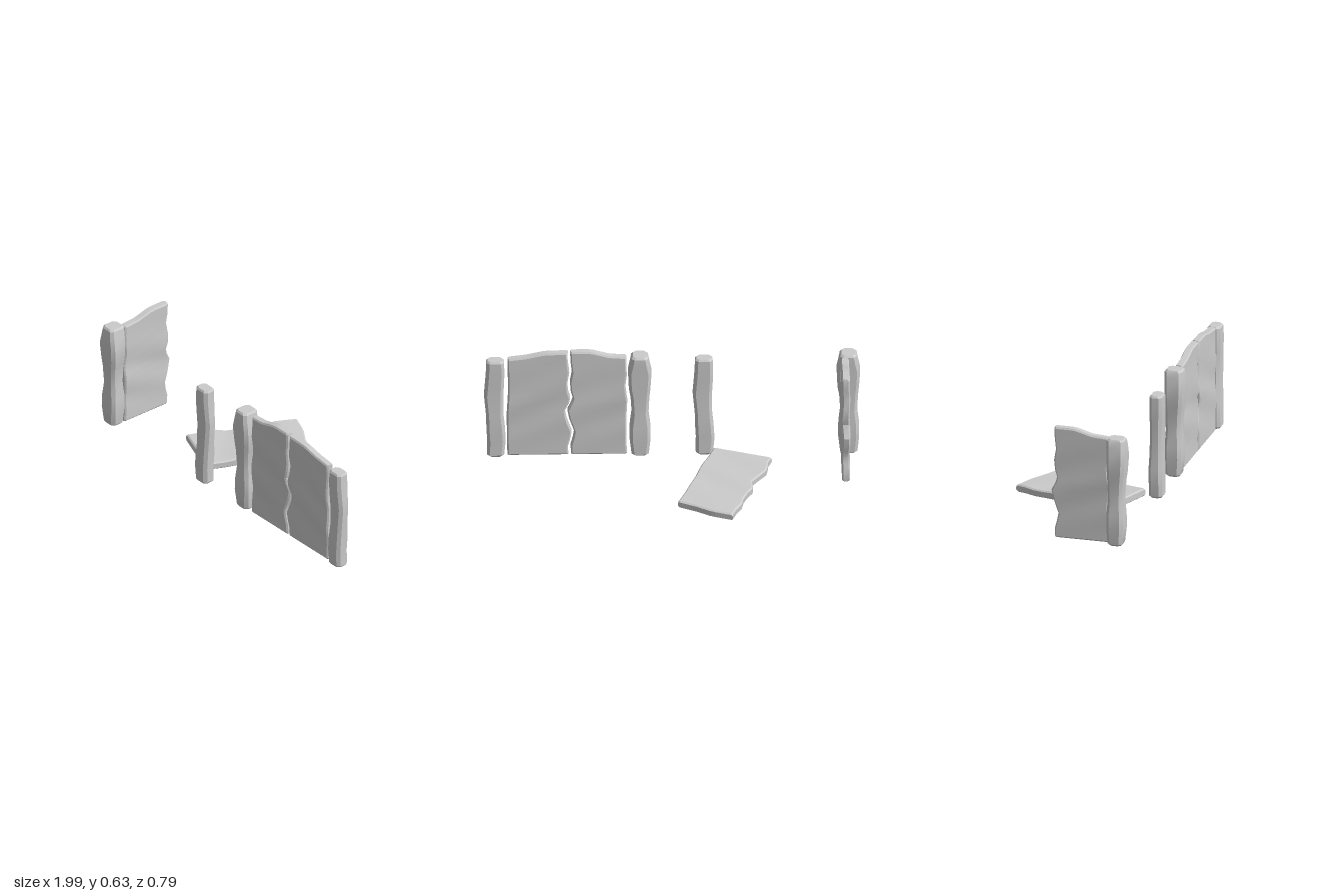
import * as THREE from 'three';
import { toCreasedNormals } from 'three/addons/utils/BufferGeometryUtils.js';

const material = new THREE.MeshStandardMaterial({ color: 0xcccccc });

// Skin a stack of rings; each ring runs along the front, then back along the rear.
function loft(rings) {
  const n = rings[0].length, index = [];
  const quad = (a, b, c, d) => index.push(a, b, c, a, c, d);
  for (let r = 0; r < rings.length - 1; r++) {
    for (let i = 0; i < n; i++) {
      const j = (i + 1) % n, lo = r * n, hi = lo + n;
      quad(lo + i, lo + j, hi + j, hi + i);
    }
  }
  // end caps as strips between the front and rear halves
  const top = (rings.length - 1) * n;
  for (let i = 0; i < n / 2 - 1; i++) {
    quad(top + i, top + i + 1, top + n - 2 - i, top + n - 1 - i);
    quad(n - 1 - i, n - 2 - i, i + 1, i);
  }
  const geometry = new THREE.BufferGeometry();
  geometry.setAttribute('position', new THREE.Float32BufferAttribute(rings.flat(2), 3));
  geometry.setIndex(index);
  return toCreasedNormals(geometry, 0.5);
}

// Linear lookup in a table of [position, value] pairs.
function lookup(table, p) {
  for (let i = 1; i < table.length; i++) {
    const [a, va] = table[i - 1], [b, vb] = table[i];
    if (p <= b) return va + (vb - va) * Math.max(0, (p - a) / (b - a));
  }
  return table[table.length - 1][1];
}

// Post from rows of [y, left, right, back, front], with chamfered corners.
function postGeometry(rows) {
  const c = 0.016;
  return loft(rows.map(([y, l, r, b, f]) => [
    [l, y, f - c], [l + c, y, f], [r - c, y, f], [r, y, f - c],
    [r, y, b + c], [r - c, y, b], [l + c, y, b], [l, y, b + c],
  ]));
}

// Rough-hewn leaf with wavy sides, a shaped top and gently rippled faces.
function leafGeometry(left, right, topTable, ripple) {
  const c = 0.008, cols = 10, rings = [];
  const levels = [0, 0.012, 0.08, 0.155, 0.22, 0.29, 0.35, 0.43, 0.5, 0.545, 0.61,
    0.7, 0.8, 0.9, 0.985, 1];
  for (const t of levels) {
    const end = t === 0 || t === 1;
    const l = lookup(left, t * 0.62), r = lookup(right, t * 0.62);
    const front = [], back = [];
    for (let i = 0; i <= cols + 2; i++) {
      const side = i === 0 || i === cols + 2;
      const x = i === 0 ? l : i === cols + 2 ? r
        : l + c + (r - l - 2 * c) * (i - 1) / cols;
      const y = t * lookup(topTable, x);
      const wave = Math.sin(Math.PI * t) * 0.005 * Math.sin(17 * t + 12 * x + ripple);
      const half = 0.021 - (side ? 0.007 : 0) - (end ? 0.006 : 0);
      front.push([x, y, half + wave]);
      back.unshift([x, y, -half + wave * 0.6]);
    }
    rings.push([...front, ...back]);
  }
  return loft(rings);
}

export function createModel() {
  const model = new THREE.Group();
  const add = (name, geometry, x, y, z) => {
    const mesh = new THREE.Mesh(geometry, material);
    mesh.name = name;
    mesh.position.set(x, y, z);
    model.add(mesh);
    return mesh;
  };

  // Thick post and slim post, each used twice
  const thickPost = postGeometry([
    [0.008, -0.037, 0.037, -0.036, 0.03],
    [0.018, -0.046, 0.046, -0.044, 0.036],
    [0.11, -0.055, 0.056, -0.048, 0.044],
    [0.18, -0.054, 0.054, -0.047, 0.042],
    [0.26, -0.044, 0.045, -0.043, 0.037],
    [0.36, -0.049, 0.051, -0.043, 0.042],
    [0.41, -0.054, 0.06, -0.045, 0.047],
    [0.5, -0.06, 0.064, -0.046, 0.053],
    [0.56, -0.048, 0.052, -0.05, 0.05],
    [0.595, -0.042, 0.046, -0.05, 0.046],
    [0.605, -0.035, 0.038, -0.042, 0.038],
  ]);
  const slimPost = postGeometry([
    [0.008, -0.04, 0.034, -0.03, 0.03],
    [0.018, -0.048, 0.043, -0.036, 0.036],
    [0.1, -0.056, 0.042, -0.036, 0.037],
    [0.17, -0.052, 0.046, -0.038, 0.036],
    [0.25, -0.044, 0.048, -0.035, 0.032],
    [0.37, -0.043, 0.059, -0.032, 0.032],
    [0.44, -0.047, 0.053, -0.033, 0.034],
    [0.51, -0.049, 0.048, -0.035, 0.037],
    [0.572, -0.047, 0.046, -0.035, 0.035],
    [0.582, -0.04, 0.04, -0.028, 0.028],
  ]);

  // The two leaves share one wavy meeting edge
  const edge = [[0, 0.295], [0.04, 0.3], [0.13, 0.276], [0.2, 0.3], [0.26, 0.318],
    [0.33, 0.283], [0.37, 0.296], [0.43, 0.302], [0.49, 0.29], [0.6, 0.303], [0.62, 0.298]];
  const rightLeaf = leafGeometry(
    [[0, 0], [0.2, 0.004], [0.35, -0.003], [0.42, 0.01], [0.5, 0], [0.62, 0.003]], edge,
    [[0, 0.586], [0.09, 0.592], [0.19, 0.62], [0.3, 0.62]], 0.5);
  const leftLeaf = leafGeometry(
    edge.map(([y, u]) => [y, u - 0.618]), [[0, 0], [0.25, 0.004], [0.4, -0.004], [0.62, 0]],
    [[-0.32, 0.616], [-0.2, 0.614], [-0.1, 0.592], [0, 0.58]], 2.6);

  // Closed gate
  add('closedGateRightPost', thickPost, 0.17, 0, 0.337);
  add('closedGateLeftPost', slimPost, 0.937, 0, 0.337);
  add('closedGateRightLeaf', rightLeaf, 0.24, 0.01, 0.338);
  add('closedGateLeftLeaf', leftLeaf, 0.872, 0.01, 0.338);

  // Broken gate: one leaf swung open to the back, the other lying on the ground
  add('brokenGateRightPost', thickPost, -0.933, 0, 0.337);
  add('brokenGateLeftPost', slimPost, -0.167, 0, 0.337);
  add('openLeaf', rightLeaf, -0.911, 0.01, 0.29).rotation.y = Math.PI / 2;
  add('fallenLeaf', leftLeaf, -0.22, 0.043, 0.288)
    .rotation.set(-Math.PI / 2 - 0.034, -0.36, 0, 'YXZ');

  return model;
}
